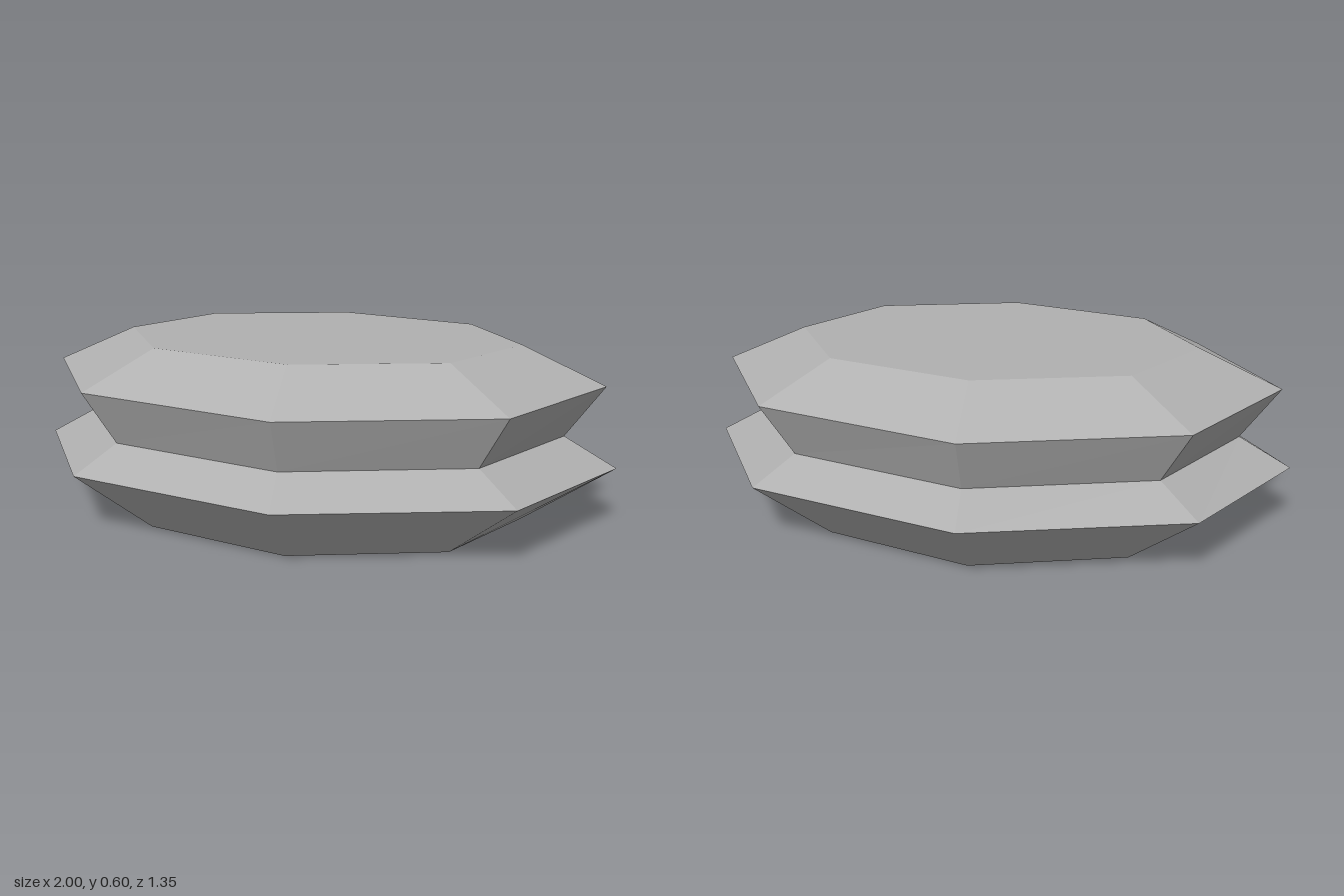
import * as THREE from 'three';

const SIDES = 8;

// Horizontal rings from bottom to top: [height, half width, half depth]
const RINGS = [
  [0, 0.7, 0.5],
  [0.2, 1, 0.675],
  [0.3, 0.825, 0.575],
  [0.475, 0.95, 0.65],
  [0.6, 0.675, 0.45],
];

// Closed, faceted solid through a stack of octagonal rings
function facetedStack(rings) {
  const positions = [];
  const index = [];
  for (const [y, rx, rz] of rings) {
    for (let i = 0; i < SIDES; i++) {
      const a = (i / SIDES) * Math.PI * 2;
      positions.push(rx * Math.cos(a), y, rz * Math.sin(a));
    }
  }
  // Sloping bands
  for (let r = 0; r < rings.length - 1; r++) {
    for (let i = 0; i < SIDES; i++) {
      const j = (i + 1) % SIDES;
      const b = r * SIDES;
      const t = b + SIDES;
      index.push(b + i, t + i, b + j, t + i, t + j, b + j);
    }
  }
  // Flat bottom and top
  const top = (rings.length - 1) * SIDES;
  for (let i = 1; i < SIDES - 1; i++) {
    index.push(0, i, i + 1);
    index.push(top, top + i + 1, top + i);
  }
  const indexed = new THREE.BufferGeometry();
  indexed.setAttribute('position', new THREE.Float32BufferAttribute(positions, 3));
  indexed.setIndex(index);
  const geometry = indexed.toNonIndexed();
  geometry.computeVertexNormals();
  return geometry;
}

export function createModel() {
  const group = new THREE.Group();
  group.name = 'facetedStone';

  const stone = new THREE.MeshStandardMaterial({ color: 0xb0b0b0 });
  stone.name = 'grey stone';
  stone.flatShading = true;

  const body = new THREE.Mesh(facetedStack(RINGS), stone);
  body.name = 'stoneBody';
  group.add(body);
  return group;
}
